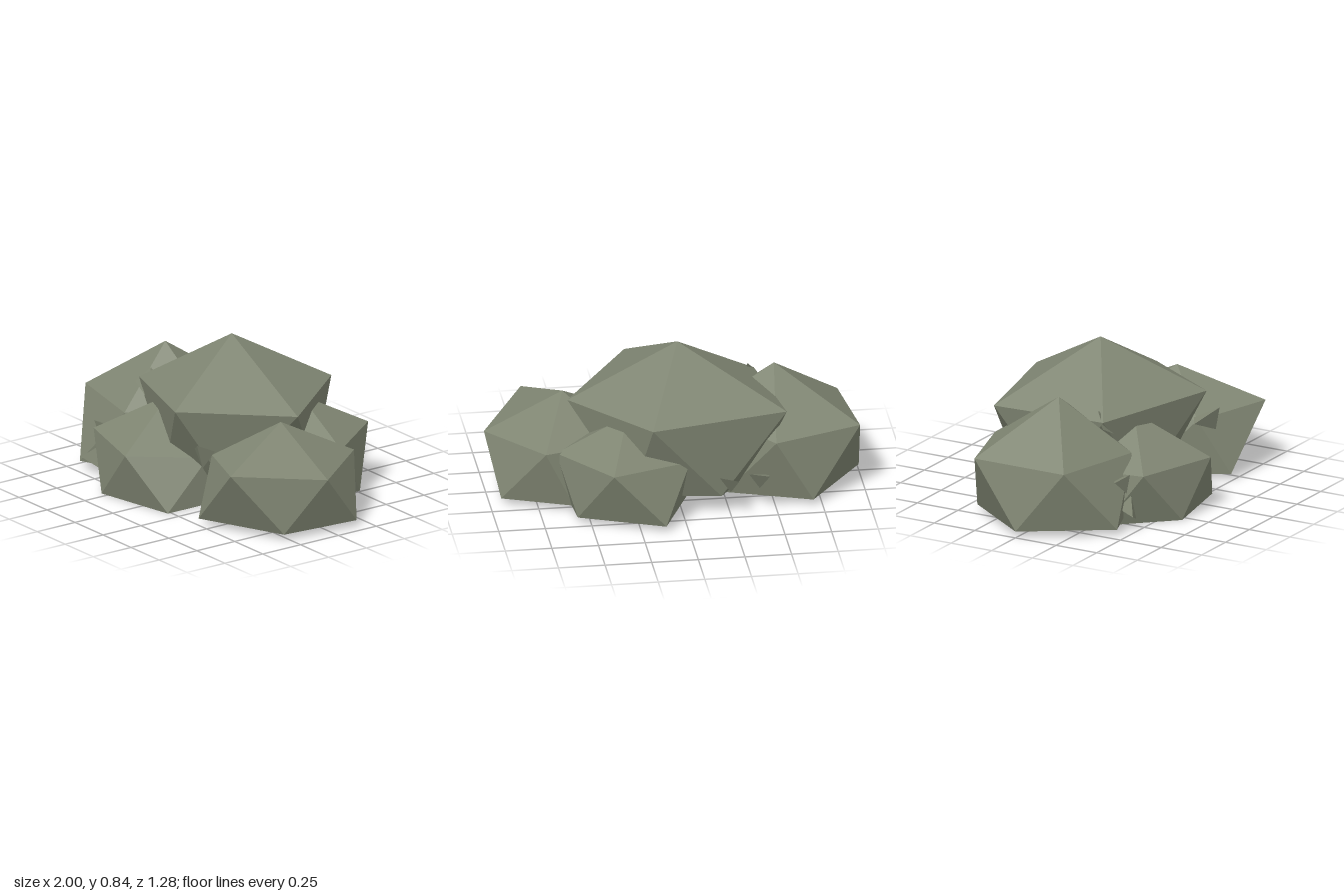
import * as THREE from 'three';
import { ConvexGeometry } from 'three/addons/geometries/ConvexGeometry.js';

// Faceted boulder: a peak, a five-point shoulder ring and a five-point base ring
function boulderGeometry(peak, shoulder, baseY, base, closed) {
  const foot = base.map(([x, z]) => [x, baseY, z]);
  const pos = [];
  const tri = (a, b, c) => pos.push(...a, ...b, ...c);
  for (let i = 0; i < 5; i++) {
    const j = (i + 1) % 5;
    tri(peak, shoulder[j], shoulder[i]);
    tri(shoulder[i], shoulder[j], foot[i]);
    tri(shoulder[j], foot[j], foot[i]);
    if (closed && i > 0 && i < 4) tri(foot[0], foot[i], foot[j]);
  }
  const g = new THREE.BufferGeometry();
  g.setAttribute('position', new THREE.Float32BufferAttribute(pos, 3));
  g.computeVertexNormals();
  return g;
}

export function createModel() {
  const group = new THREE.Group();
  group.name = 'rockPile';
  const stone = new THREE.MeshStandardMaterial({ color: 0x7f8572, flatShading: true, side: THREE.DoubleSide });
  stone.name = 'mossyStone';

  const add = (name, geometry) => {
    const mesh = new THREE.Mesh(geometry, stone);
    mesh.name = name;
    group.add(mesh);
  };
  const boulder = (name, peak, shoulder, baseY, base, closed = true) =>
    add(name, boulderGeometry(peak, shoulder, baseY, base, closed));

  boulder('centreBoulder', [-0.02, 0.84, -0.05],
    [[0.57, 0.535, -0.05], [0.19, 0.565, 0.48], [-0.47, 0.53, 0.23], [-0.56, 0.55, -0.39], [0.18, 0.555, -0.56]],
    0.11, [[0.28, 0.2], [-0.15, 0.29], [-0.45, -0.1], [-0.2, -0.46], [0.27, -0.38]]);

  boulder('leftBoulder', [0.58, 0.535, 0.07],
    [[1, 0.325, 0.07], [0.74, 0.365, 0.52], [0.33, 0.335, 0.34], [0.3, 0.34, -0.2], [0.72, 0.34, -0.31]],
    0.035, [[0.9, 0.285], [0.42, 0.495], [0.2, 0.07], [0.57, -0.31], [0.94, -0.165]]);

  boulder('rightBoulder', [-0.545, 0.66, 0],
    [[-0.15, 0.4, 0], [-0.41, 0.37, 0.37], [-0.92, 0.37, 0.25], [-0.97, 0.39, -0.27], [-0.5, 0.38, -0.42]],
    0.035, [[-0.25, 0.28], [-0.7, 0.45], [-1, 0], [-0.7, -0.41], [-0.25, -0.25]]);

  // Open underneath
  boulder('frontBoulder', [-0.18, 0.51, 0.25],
    [[0.16, 0.25, 0.24], [-0.04, 0.285, 0.64], [-0.51, 0.285, 0.5], [-0.56, 0.28, 0.08], [-0.12, 0.28, -0.1]],
    0, [[0.18, 0.52], [-0.29, 0.61], [-0.58, 0.3], [-0.35, -0.05], [0.18, 0.09]], false);

  boulder('backBoulder', [0.28, 0.53, -0.28],
    [[0.66, 0.33, -0.27], [0.4, 0.33, 0.08], [0, 0.33, -0.05], [-0.03, 0.33, -0.48], [0.4, 0.34, -0.64]],
    0.035, [[0.6, -0.08], [0.2, 0.1], [-0.07, -0.2], [0.12, -0.64], [0.57, -0.46]]);

  // Small shards wedged between the boulders
  const shards = [
    [[0.23, 0.35, 0.38], [0.36, 0.42, 0.46], [0.37, 0.29, 0.43], [0.33, 0.35, 0.32]],
    [[-0.64, 0.27, 0.4], [-0.53, 0.29, 0.43], [-0.55, 0.19, 0.42], [-0.55, 0.25, 0.33]],
    [[-0.62, 0.09, 0.5], [-0.52, 0.18, 0.43], [-0.5, 0.04, 0.45], [-0.56, 0.1, 0.38]],
    [[-0.49, 0.5, 0.24], [-0.43, 0.58, 0.18], [-0.39, 0.45, 0.25], [-0.4, 0.53, 0.15]],
    [[-0.45, 0.24, -0.53], [-0.46, 0.2, -0.42], [-0.35, 0.22, -0.44], [-0.41, 0.13, -0.43]],
    [[-0.28, 0.24, -0.57], [-0.29, 0.18, -0.45], [-0.19, 0.22, -0.47], [-0.25, 0.13, -0.46]],
  ];
  shards.forEach((pts, i) =>
    add(`shard${i + 1}`, new ConvexGeometry(pts.map((p) => new THREE.Vector3(...p)))));

  return group;
}
